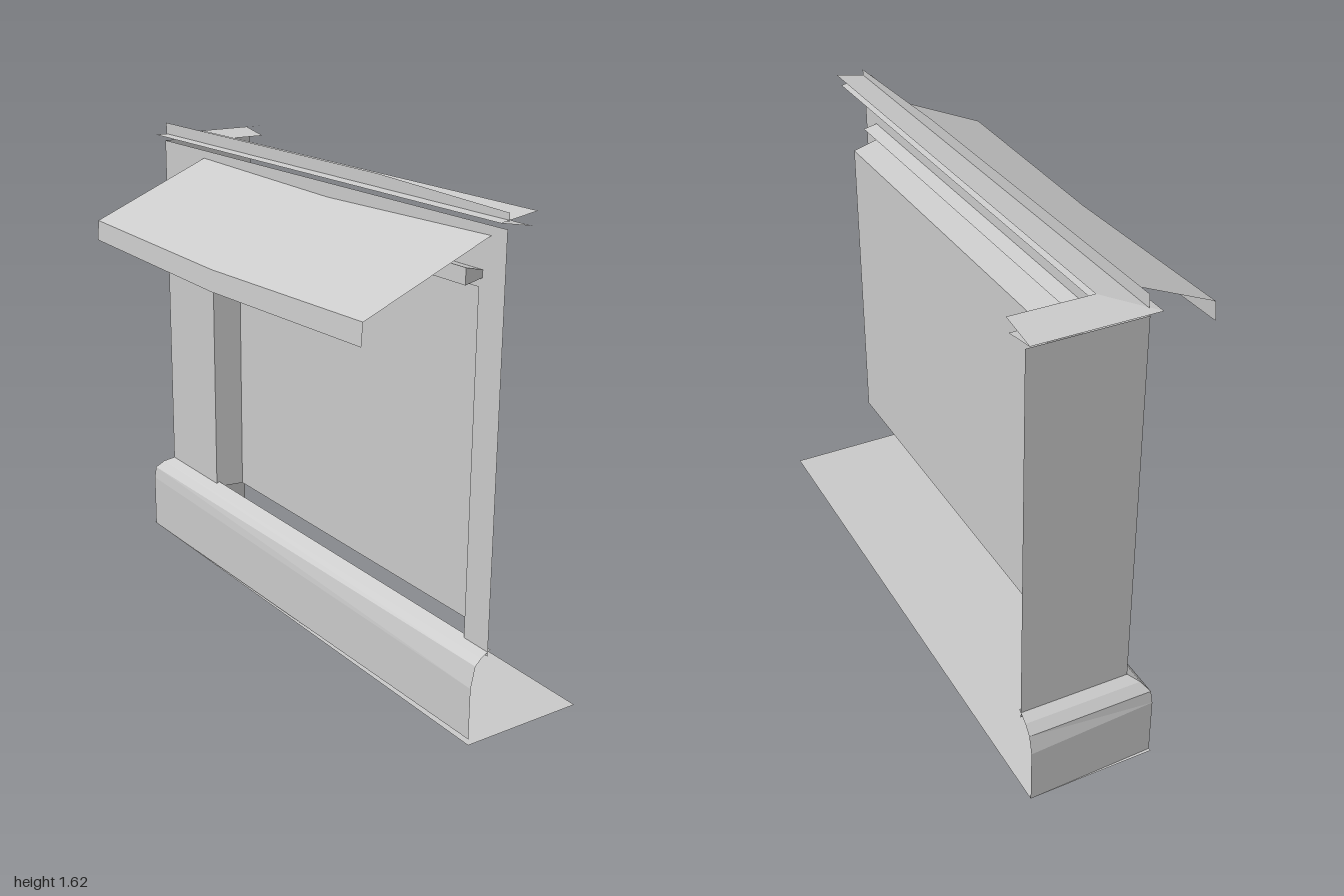
import * as THREE from 'three';

const material = new THREE.MeshStandardMaterial({
  color: 0xcccccc, flatShading: true, side: THREE.DoubleSide,
});

// Joins successive rows of points (equal length) with quads.
function loft(rows) {
  const pos = [];
  for (let i = 0; i + 1 < rows.length; i++) {
    for (let j = 0; j + 1 < rows[i].length; j++) {
      const a = rows[i][j], b = rows[i][j + 1];
      const c = rows[i + 1][j + 1], d = rows[i + 1][j];
      pos.push(...a, ...b, ...c, ...a, ...c, ...d);
    }
  }
  const g = new THREE.BufferGeometry();
  g.setAttribute('position', new THREE.Float32BufferAttribute(pos, 3));
  g.computeVertexNormals();
  return g;
}

// Sweeps an [inset, y] profile round the corner: open end, corner, side end.
// The inset is measured inwards from x = 0.03 and z = -0.93.
const X = 0.03, Z = -0.93, END_X = 0.4, END_Z = 1;
function cornerSweep(front, corner = front, side = front) {
  return loft([
    front.map(([d, y]) => [X + d, y, END_Z]),
    corner.map(([d, y]) => [X + d, y, Z + d]),
    side.map(([d, y]) => [END_X, y, Z + d]),
  ]);
}

export function createModel() {
  const model = new THREE.Group();
  const add = (name, geometry) => {
    const mesh = new THREE.Mesh(geometry, material);
    mesh.name = name;
    model.add(mesh);
  };

  // Window opening and the smaller pane set back behind it
  const z0 = -0.59, z1 = 0.89, top = 1.38, low = 0.28;
  const paneX = 0.135, p0 = -0.575, p1 = 0.87, paneTop = 1.36;

  // Walls: a street wall with a tall opening, and the return wall
  const wallTop = 1.56;
  const streetPanel = (name, a, b, bottom) => add(name, loft([
    [[X, bottom, a], [X, wallTop, a]], [[X, bottom, b], [X, wallTop, b]],
  ]));
  streetPanel('frontPier', z1, END_Z, low);
  streetPanel('wallAboveWindow', z0, z1, top);
  streetPanel('cornerPier', Z, z0, low);
  add('returnWall', loft([
    [[X, low, Z], [X, wallTop, Z]], [[END_X, low, Z], [END_X, wallTop, Z]],
  ]));

  // Tapered window reveal and the pane
  add('windowReveal', loft([
    [[X, low, z0], [X, top, z0], [X, top, z1], [X, low, z1]],
    [[paneX, low, p0], [paneX, paneTop, p0], [paneX, paneTop, p1], [paneX, low, p1]],
  ]));
  add('windowPane', loft([
    [[paneX, low, p0], [paneX, paneTop, p0]], [[paneX, low, p1], [paneX, paneTop, p1]],
  ]));

  // Bevelled plinth, slightly uneven from end to end
  add('plinth', cornerSweep(
    [[-0.06, 0.02], [-0.06, 0.19], [-0.045, 0.26], [-0.025, 0.28], [0.01, 0.3]],
    [[-0.06, 0], [-0.06, 0.2], [-0.055, 0.245], [-0.03, 0.275], [0.01, 0.3]],
    [[-0.07, 0], [-0.07, 0.19], [-0.055, 0.25], [-0.03, 0.28], [0.01, 0.305]],
  ));
  add('floor', loft([
    [[-0.03, 0, -1], [END_X, 0, -1]], [[-0.03, 0, 1], [END_X, 0, 1]],
  ]));

  // Cornice: a thin V opening inwards, with a low tapering parapet
  add('cornice', cornerSweep([[0.09, 1.56], [-0.025, 1.58], [0.105, 1.6]]));
  add('parapet', loft([
    [[0.035, 1.58, 1], [0.035, 1.605, 1]],
    [[0.035, 1.58, 0.4], [0.035, 1.625, 0.4]],
    [[0.035, 1.58, Z], [0.035, 1.625, Z]],
  ]));

  // Wedge-shaped rail above the window
  const railShape = new THREE.Shape([
    new THREE.Vector2(-0.03, 1.395), new THREE.Vector2(0.08, 1.42),
    new THREE.Vector2(-0.03, 1.445),
  ]);
  const rail = new THREE.ExtrudeGeometry(railShape, { depth: 1.54, bevelEnabled: false });
  rail.translate(0, 0, -0.635);
  add('windowRail', rail);

  // Awning sagging at mid-length, with a hanging valance
  const awningRows = [[-0.64, 0], [0.145, 0.018], [0.935, 0]].map(([z, sag]) => [
    [0.065, 1.547 - sag, z], [-0.395, 1.353 - sag, z], [-0.4, 1.285 - sag, z],
  ]);
  add('awning', loft(awningRows));

  return model;
}
